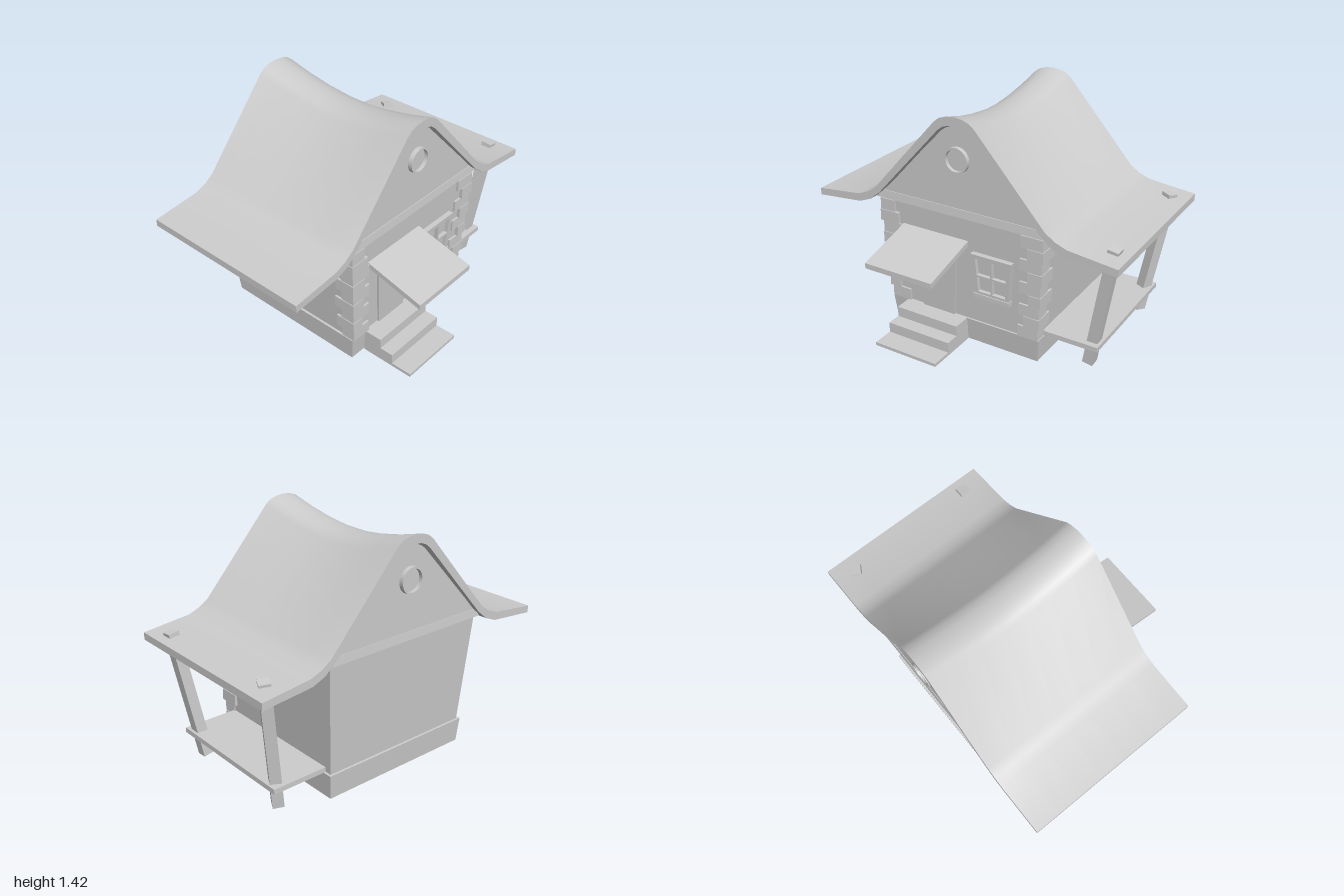
import * as THREE from 'three';
import { toCreasedNormals } from 'three/addons/utils/BufferGeometryUtils.js';

const grey = new THREE.MeshStandardMaterial({ color: 0xcccccc });
const greyDouble = new THREE.MeshStandardMaterial({ color: 0xcccccc, side: THREE.DoubleSide });
const frontZ = y => 0.325 + 0.05 * (y - 0.15); // leaning front wall
const sideX = y => 0.50 + 0.067 * (y - 0.15); // leaning side walls

// Moves every vertex by a rule
function warp(geo, rule) {
  const p = geo.attributes.position, v = new THREE.Vector3();
  for (let i = 0; i < p.count; i++) {
    v.fromBufferAttribute(p, i);
    rule(v);
    p.setXYZ(i, v.x, v.y, v.z);
  }
  geo.computeVertexNormals();
  return geo;
}

// Tapered box; each end is [y, half width, back z, front z]
function taperBox(lo, hi, dropCaps = []) {
  const geo = new THREE.BoxGeometry(2, 1, 1);
  warp(geo, v => {
    const [y, w, z0, z1] = v.y < 0 ? lo : hi;
    v.set(v.x * w, y, v.z < 0 ? z0 : z1);
  });
  const idx = Array.from(geo.index.array);
  geo.setIndex(idx.filter((_, i) => !dropCaps.includes(Math.floor(i / 6))));
  return geo;
}
const TOP = 2, BOTTOM = 3;

function box(x0, x1, y0, y1, z0, z1) {
  return new THREE.BoxGeometry(x1 - x0, y1 - y0, z1 - z0)
    .translate((x0 + x1) / 2, (y0 + y1) / 2, (z0 + z1) / 2);
}

// Swaybacked ridge: the higher a point, the more it drops mid-roof
function sag(v) {
  const t = Math.min(1, Math.abs(v.z + 0.167) / 0.563);
  v.y -= 0.094 * (1 - Math.pow(t, 1.75)) * Math.max(0, (v.y - 0.82) / 0.6);
}

// Symmetric outline: right half, top to bottom, mirrored on the left
function mirrored(half) {
  const left = half.filter(p => p[0] > 0).map(([x, y]) => [-x, y]).reverse();
  return [...left, ...half];
}
const toShape = pts => new THREE.Shape(pts.map(p => new THREE.Vector2(...p)));

function swayed(pts, z0, z1) {
  const geo = new THREE.ExtrudeGeometry(toShape(pts), { depth: z1 - z0, steps: 7, bevelEnabled: false });
  geo.translate(0, 0, z0);
  return toCreasedNormals(warp(geo, sag), 0.6);
}

function rectPath(x0, x1, y0, y1, Type = THREE.Path) {
  return new Type([[x0, y0], [x1, y0], [x1, y1], [x0, y1]].map(p => new THREE.Vector2(...p)));
}

export function createModel() {
  const model = new THREE.Group();
  const add = (name, geo, mat = grey, parent = model) => {
    const m = new THREE.Mesh(geo, mat);
    m.name = name;
    parent.add(m);
    return m;
  };
  const group = name => {
    const g = new THREE.Group();
    g.name = name;
    model.add(g);
    return g;
  };

  // Roof with flared eaves
  const outer = [[0, 1.425], [0.05, 1.42], [0.095, 1.405], [0.13, 1.378], [0.57, 0.885],
    [0.63, 0.845], [0.7, 0.818], [1, 0.785]];
  const inner = [[0, 1.372], [0.04, 1.37], [0.075, 1.357], [0.105, 1.335], [0.54, 0.86],
    [0.61, 0.803], [0.69, 0.771], [1, 0.741]];
  add('roof', swayed([...mirrored(outer), ...mirrored(inner).reverse()], -0.73, 0.395));

  // Gable block filling the roof, on a projecting base board
  add('gable', swayed(mirrored([[0, 1.37], [0.04, 1.367], [0.075, 1.353], [0.105, 1.331], [0.545, 0.858], [0.545, 0.825]]), -0.697, 0.36));
  add('gableBase', taperBox([0.822, 0.575, -0.705, 0.37], [0.872, 0.54, -0.7, 0.365]));

  // Round windows in both gables
  const ring = new THREE.Shape().absarc(0, 0, 0.077, 0, Math.PI * 2);
  ring.holes.push(new THREE.Path().absarc(0, 0, 0.066, 0, Math.PI * 2, true));
  for (const s of [1, -1]) {
    const g = group(s > 0 ? 'frontRoundWindow' : 'backRoundWindow');
    add('rim', new THREE.ExtrudeGeometry(ring, { depth: 0.035, bevelEnabled: false, curveSegments: 16 }), grey, g);
    add('pane', new THREE.CircleGeometry(0.07, 32).translate(0, 0, 0.012), grey, g);
    g.position.set(0, 1.17, s > 0 ? 0.352 : -0.689);
    if (s < 0) g.rotation.y = Math.PI;
  }

  // Walls and foundation, both widening upward and open below
  add('walls', taperBox([0.15, sideX(0.15), -0.645, frontZ(0.15)], [0.825, sideX(0.825), -0.69, frontZ(0.825)], [BOTTOM]), greyDouble);
  add('foundation', taperBox([0, 0.503, -0.648, 0.318], [0.15, 0.515, -0.66, 0.336], [TOP, BOTTOM]), greyDouble);
  add('foundationLedge', taperBox([0.149, 0.515, -0.66, 0.336], [0.15, 0.485, -0.63, 0.31], [TOP, BOTTOM]), greyDouble);

  // Corner stones on the two front corners
  const reachX = [0.13, 0.1, 0.13, 0.075, 0.135, 0.09, 0.14, 0.1, 0.14];
  const reachZ = [0.06, 0.1, 0.065, 0.11, 0.06, 0.1, 0.06, 0.11, 0.07];
  const rowH = 0.67 / reachX.length;
  for (const s of [1, -1]) {
    const stones = group(s > 0 ? 'leftCornerStones' : 'rightCornerStones');
    reachX.forEach((w, i) => {
      const reach = s > 0 ? w : reachX[(i + 2) % reachX.length];
      const y = 0.15 + i * rowH;
      const x1 = sideX(y) + 0.01 + 0.008 * (i % 2), z1 = frontZ(y) + 0.017 + 0.006 * (i % 2);
      const geo = box(x1 - reach, x1, y + 0.001, y + rowH - 0.001, z1 - 0.03 - reachZ[i], z1);
      if (s < 0) geo.translate(-2 * x1 + reach, 0, 0);
      add('stone', geo, grey, stones);
    });
  }

  // Door, wider at the top
  add('door', warp(box(-0.31, -0.03, 0.15, 0.59, -0.02, 0.015), v => {
    v.x = -0.17 + (v.x + 0.17) * (v.y < 0.3 ? 0.8 : 1.04);
    v.z += frontZ(v.y);
  }));

  // Sloping canopy over the door
  add('canopy', warp(box(-0.4, 0.055, 0.547, 0.58, 0.3, 0.725), v => {
    v.y += (0.725 - v.z) * 0.265;
  }));

  // Front steps
  const steps = group('steps');
  [[0.085, 0.15, 0.45], [0.02, 0.085, 0.54], [0, 0.02, 0.675]].forEach(([y0, y1, z]) =>
    add('step', box(-0.4, 0.03, y0, y1, 0.325, z), grey, steps));

  // Four-pane window, wider at the top
  const win = group('window');
  const lean = v => {
    v.x = 0.222 + (v.x - 0.222) * (1 + 0.7 * (v.y - 0.49));
    v.z += frontZ(v.y);
  };
  const frame = rectPath(0.098, 0.346, 0.36, 0.622, THREE.Shape);
  for (const [x0, x1] of [[0.125, 0.216], [0.228, 0.319]])
    for (const [y0, y1] of [[0.383, 0.479], [0.491, 0.597]])
      frame.holes.push(rectPath(x0, x1, y0, y1));
  add('frame', warp(new THREE.ExtrudeGeometry(frame, { depth: 0.033, bevelEnabled: false }), lean), grey, win);
  add('panes', warp(box(0.11, 0.335, 0.37, 0.61, -0.01, 0.008), lean), grey, win);
  add('sill', box(0.103, 0.34, 0.34, 0.368, 0.31, 0.376), grey, win);

  // Side porch: floor and two crooked posts poking through the eave
  add('porchFloor', box(0.49, 0.85, 0.15, 0.18, -0.605, 0.26));
  const post = (name, a, b, twist) => {
    const from = new THREE.Vector3(...a), to = new THREE.Vector3(...b);
    const dir = to.clone().sub(from);
    const m = add(name, new THREE.BoxGeometry(0.065, dir.length(), 0.065).rotateY(twist));
    m.quaternion.setFromUnitVectors(new THREE.Vector3(0, 1, 0), dir.normalize());
    m.position.copy(from).add(to).multiplyScalar(0.5);
  };
  post('frontPorchPost', [0.77, 0.02, 0.178], [0.914, 0.816, 0.243], 0);
  post('backPorchPost', [0.77, 0.02, -0.525], [0.89, 0.816, -0.595], -0.5);

  return model;
}
